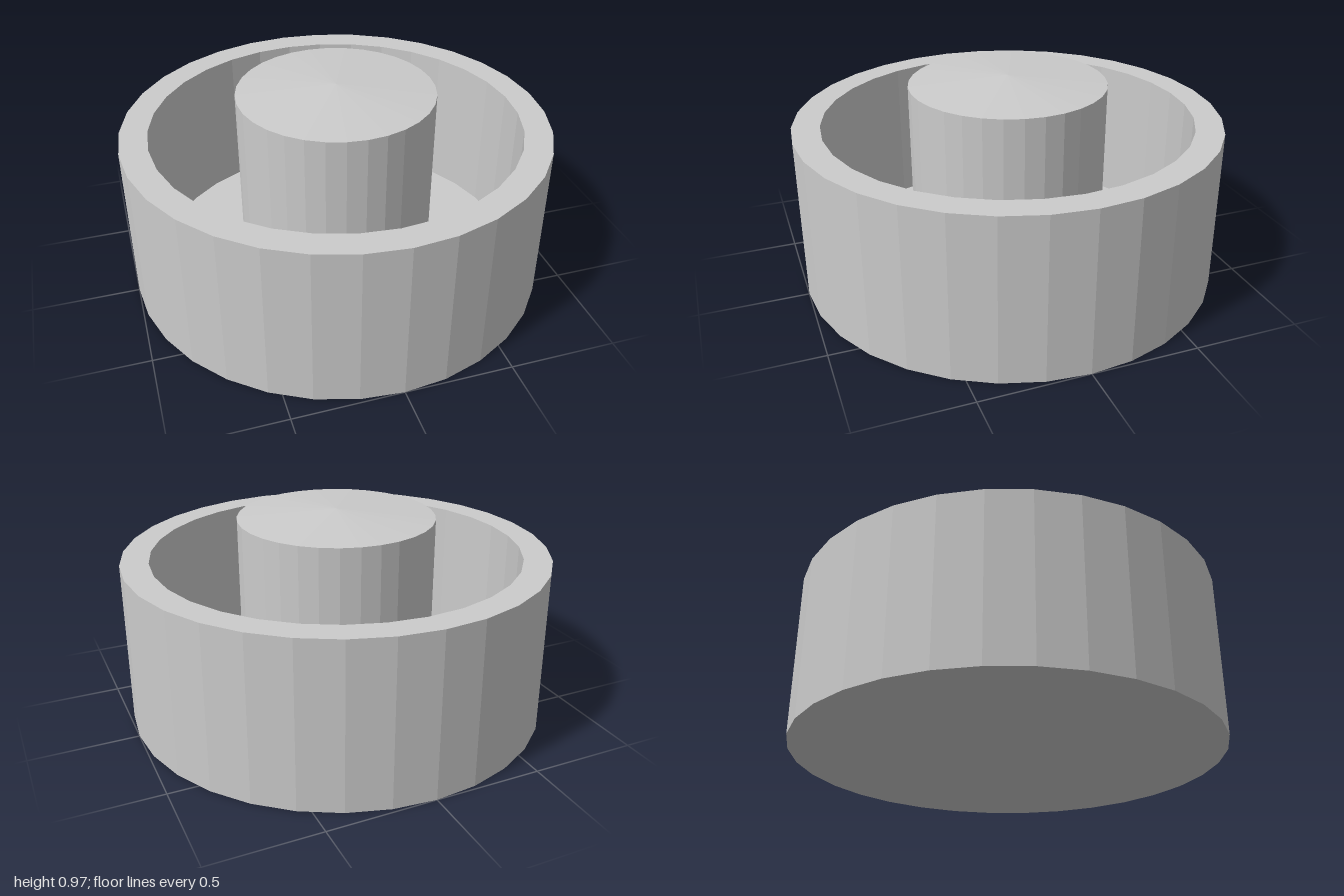
import * as THREE from 'three';

const SIDES = 32;
const FLOOR = 0.06;

// Faceted solid of revolution from [radius, height] pairs, listed bottom to top
function turned(name, profile) {
  const points = profile.map(([r, y]) => new THREE.Vector2(r, y));
  const material = new THREE.MeshStandardMaterial({ color: 0xcccccc, flatShading: true });
  const mesh = new THREE.Mesh(new THREE.LatheGeometry(points, SIDES), material);
  mesh.name = name;
  return mesh;
}

export function createModel() {
  const group = new THREE.Group();
  group.name = 'cupWithPost';

  // Round cup: base, outer wall, rim, inner wall, floor
  group.add(turned('cup', [[0, 0], [1, 0], [1, 0.77], [0.87, 0.77], [0.87, FLOOR], [0, FLOOR]]));

  // Central post with a shallow conical top
  group.add(turned('centrePost', [[0.462, FLOOR], [0.462, 0.935], [0, 0.97]]));

  return group;
}
